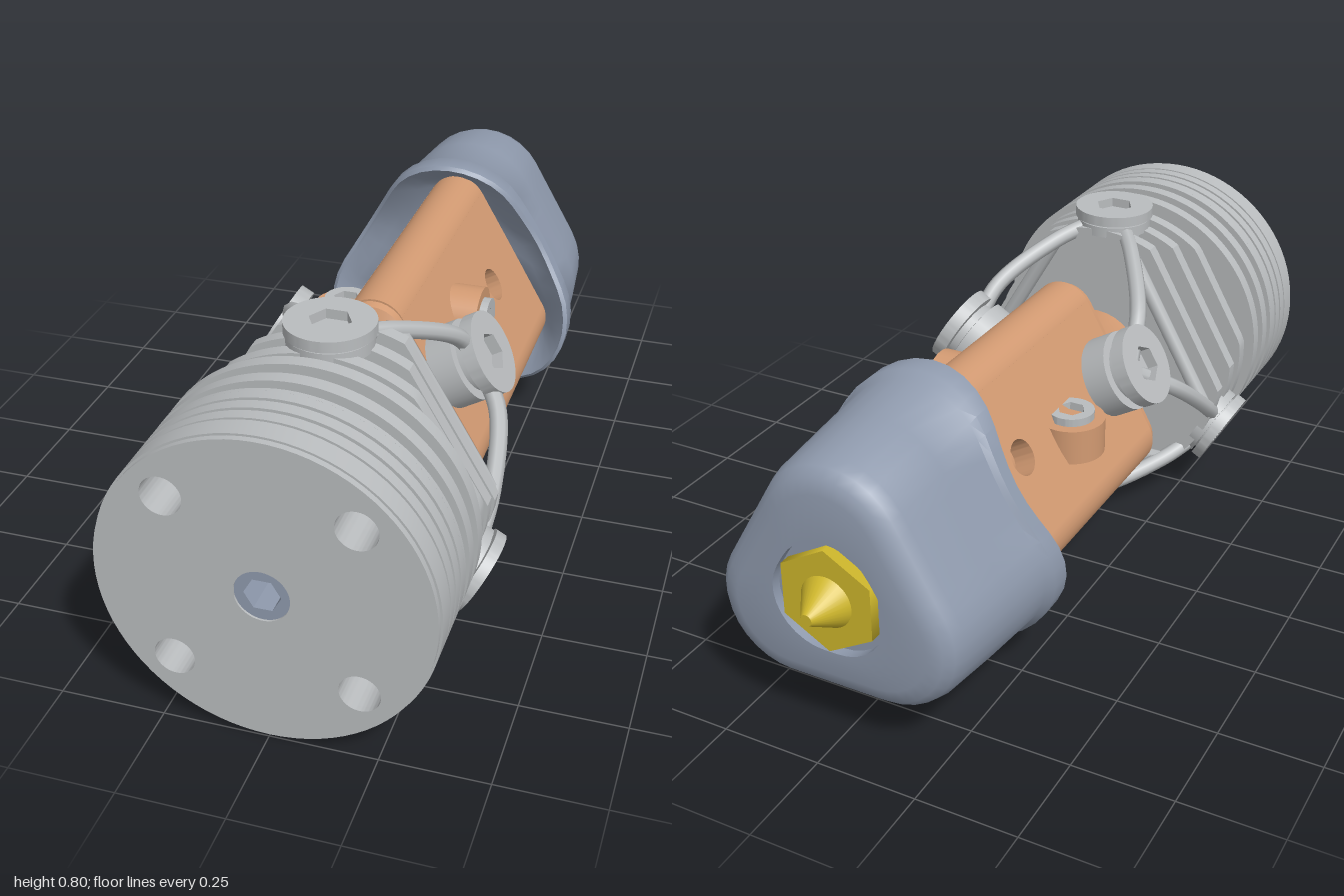
import * as THREE from 'three';
import { toCreasedNormals } from 'three/addons/utils/BufferGeometryUtils.js';

const mat = (name, color) => {
  const m = new THREE.MeshStandardMaterial({ color });
  m.name = name;
  return m;
};
const rad = THREE.MathUtils.degToRad;
const COLD = [90, 210, 330]; // screws on the heat sink
const HOT = [30, 150, 270];  // flat faces of the heater block

export function createModel() {
  const aluminium = mat('aluminium grey', 0xb9bcbe);
  const copper = mat('copper', 0xd29a72);
  const silicone = mat('silicone blue grey', 0x8f9aad);
  const brass = mat('brass yellow', 0xd0b82c);

  const model = new THREE.Group();
  const axis = new THREE.Group(); // everything hangs on one axis along z
  axis.name = 'hotEnd';
  axis.position.y = 0.39;
  model.add(axis);

  const add = (name, geo, m, parent = axis) => {
    const mesh = new THREE.Mesh(geo, m);
    mesh.name = name;
    parent.add(mesh);
    return mesh;
  };
  // group whose local +y points outward at the given angle
  const radial = (name, deg) => {
    const g = new THREE.Group();
    g.name = name;
    g.rotation.z = rad(deg - 90);
    axis.add(g);
    return g;
  };
  const polar = (r, deg, z) => new THREE.Vector3(r * Math.cos(rad(deg)), r * Math.sin(rad(deg)), z);
  const circle = (Type, x, y, r) => new Type().absarc(x, y, r, 0, Math.PI * 2);
  const hexagon = (Type, r) => new Type().setFromPoints(
    [0, 1, 2, 3, 4, 5].map(i => new THREE.Vector2(r * Math.cos(i * Math.PI / 3), r * Math.sin(i * Math.PI / 3))));
  const extrude = (shape, depth) => toCreasedNormals(
    new THREE.ExtrudeGeometry(shape, { depth, bevelEnabled: false, curveSegments: 40 }), 0.5);
  const rod = (r1, r2, z0, z1, sides = 32) =>
    new THREE.CylinderGeometry(r1, r2, z1 - z0, sides).rotateX(Math.PI / 2).translate(0, 0, (z0 + z1) / 2);
  const post = (r, y0, y1, z) => new THREE.CylinderGeometry(r, r, y1 - y0, 32).translate(0, (y0 + y1) / 2, z);

  // skin through rounded-triangle sections [z, corner distance, corner radius, wave]
  const loft = (sections) => {
    const pos = [], idx = [];
    let n = 0;
    for (const [z, d, r, wave = 0] of sections) {
      const arcs = COLD.map(c => Array.from({ length: 11 }, (_, i) =>
        polar(d, c, 0).add(polar(r, c - 60 + i * 12, 0))));
      const ring = arcs.flatMap((arc, k) => [...arc, ...[1, 2, 3, 4, 5].map(i =>
        arc[10].clone().lerp(arcs[(k + 1) % 3][0], i / 6))]);
      n = ring.length;
      for (const p of ring) {
        const t = Math.atan2(p.y, p.x) - Math.PI / 2;
        pos.push(p.x, p.y, z - wave * (0.5 - 0.5 * Math.cos(3 * t)));
      }
    }
    for (let s = 0; s < sections.length - 1; s++) for (let j = 0; j < n; j++) {
      const a = s * n + j, b = s * n + (j + 1) % n;
      idx.push(a, a + n, b, b, a + n, b + n);
    }
    const g = new THREE.BufferGeometry();
    g.setAttribute('position', new THREE.Float32BufferAttribute(pos, 3));
    g.setIndex(idx);
    return toCreasedNormals(g, 0.7);
  };

  // screw head with a hexagonal socket, pointing along local +y
  const screw = (name, r, y0, y1, z, parent) => {
    const s = circle(THREE.Shape, 0, 0, r);
    s.holes.push(hexagon(THREE.Path, Math.min(0.05, r * 0.6)));
    add(name, extrude(s, y1 - y0).rotateX(-Math.PI / 2).translate(0, y0, z), aluminium, parent);
    add(name + 'Base', post(r * 0.8, y0 - 0.02, y0 + 0.003, z), aluminium, parent);
  };

  // heat sink: grooved round base with four mounting holes and a bore
  const basePlates = [[0.815, 0.845, 0.385], [0.845, 0.855, 0.365], [0.855, 0.885, 0.385], [0.885, 0.895, 0.365],
    [0.895, 0.925, 0.385], [0.925, 0.932, 0.37], [0.932, 0.985, 0.385], [0.985, 1, 0.38]];
  for (const [z0, z1, r] of basePlates) {
    const s = circle(THREE.Shape, 0, 0, r);
    for (const x of [-0.21, 0.21]) for (const y of [-0.21, 0.21]) s.holes.push(circle(THREE.Path, x, y, 0.047));
    s.holes.push(circle(THREE.Path, 0, 0, 0.063));
    add('heatSinkBase', extrude(s, z1 - z0).translate(0, 0, z0), aluminium);
  }
  add('heatSinkBack', rod(0.385, 0.385, 0.805, 0.816, 96), aluminium);
  const collar = circle(THREE.Shape, 0, 0, 0.063);
  collar.holes.push(hexagon(THREE.Path, 0.042));
  add('boreCollar', extrude(collar, 0.1).translate(0, 0, 0.895), silicone);
  add('boreEnd', rod(0.05, 0.05, 0.81, 0.82), brass);

  // separate fins, the rear ones cut flat on three sides
  for (const [z, flat] of [[0.757, 1], [0.685, 1], [0.61, 0.34], [0.535, 0.32], [0.455, 0.3]]) {
    const pts = Array.from({ length: 120 }, (_, i) => {
      const deg = i * 3;
      const r = Math.min(0.385, ...HOT.map(h => {
        const c = Math.cos(rad(deg - h));
        return c > 0.1 ? flat / c : 1;
      }), flat < 1 ? 0.37 : 1);
      return new THREE.Vector2(r * Math.cos(rad(deg)), r * Math.sin(rad(deg)));
    });
    add('coolingFin', extrude(new THREE.Shape(pts), 0.035).translate(0, 0, z - 0.0175), aluminium);
  }
  add('heatSinkCore', rod(0.12, 0.12, 0.44, 0.81), aluminium);
  for (const x of [-0.14, 0.14]) for (const y of [-0.14, 0.14])
    add('heatSinkColumn', rod(0.055, 0.055, 0.61, 0.81, 20).translate(x, y, 0), aluminium);

  // heat sink screws, bosses and the struts reaching to the block
  const strut = (name, pts, r = 0.022) =>
    add(name, new THREE.TubeGeometry(new THREE.CatmullRomCurve3(pts), 20, r, 8), aluminium);
  for (const a of COLD) {
    const g = radial('coldMount', a);
    add('boss', post(0.085, 0.12, 0.36, 0.535), aluminium, g);
    add('armPad', post(0.1, 0.35, 0.378, 0.535), aluminium, g);
    screw('coldScrew', 0.105, 0.383, 0.41, 0.535, g);
    for (const s of [-1, 1]) strut('strut', [polar(0.365, a + s * 8, 0.49), polar(0.35, a + s * 19, 0.4),
      polar(0.32, a + s * 40, 0.24), polar(0.275, a + s * 56, 0.15)]);
    strut('braceBar', [polar(0.35, a + 19, 0.4), polar(0.35, a + 101, 0.4)], 0.02);
  }

  // heater block: three drilled faces, three round corners, tapered neck
  add('blockCore', rod(0.13, 0.13, -0.6, 0.3), copper);
  for (const a of COLD)
    add('blockCorner', rod(0.08, 0.08, -0.6, 0.22, 40).translate(...polar(0.22, a, 0)), copper);
  for (const a of HOT) {
    const g = radial('blockSide', a);
    const s = new THREE.Shape().setFromPoints([[-0.191, -0.22], [0.191, -0.22], [0.191, 0.6], [-0.191, 0.6]]
      .map(p => new THREE.Vector2(...p)));
    if (a !== 270) s.holes.push(circle(THREE.Path, 0, 0.33, 0.045));
    add('blockFace', extrude(s, 0.06).rotateX(-Math.PI / 2).translate(0, 0.13, 0), copper, g);
    for (const z of a === 270 ? [0.14, -0.33] : [0.14]) {
      add('armPad', post(0.105, 0.185, 0.26, z), aluminium, g);
      add('screwNeck', post(0.08, 0.255, 0.29, z), aluminium, g);
      screw('hotScrew', 0.105, 0.285, 0.32, z, g);
    }
  }
  add('blockNeck', loft([[0.45, 0, 0.06], [0.45, 0, 0.13], [0.34, 0.005, 0.13], [0.28, 0.06, 0.115],
    [0.255, 0.17, 0.08], [0.24, 0.21, 0.08], [0.2, 0.22, 0.08]]), copper);
  add('blockMound', new THREE.SphereGeometry(1, 32, 16).scale(0.13, 0.09, 0.13).translate(0, -0.18, -0.1), copper);

  // grub screws in round seats, one facing sideways and one facing up
  for (const [deg, across, out] of [[0, 0.11, 0.2], [90, -0.18, 0.11]]) {
    const g = radial('grubMount', deg);
    const side = deg === 0 ? -across : across;
    add('grubSeat', post(0.085, out - 0.1, out - 0.01, -0.1).translate(side, 0, 0), copper, g);
    const holder = new THREE.Group();
    holder.name = 'grubScrew';
    holder.position.x = side;
    g.add(holder);
    screw('grub', 0.058, out - 0.03, out + 0.01, -0.1, holder);
  }

  // silicone sock with a wavy open rim
  add('siliconeSock', loft([[-0.56, 0.22, 0.078], [-0.5, 0.2, 0.125, 0.05], [-0.455, 0.165, 0.19, 0.07],
    [-0.447, 0.16, 0.2, 0.07], [-0.455, 0.16, 0.21, 0.07], [-0.515, 0.16, 0.21, 0.045], [-0.54, 0.155, 0.2, 0.03],
    [-0.7, 0.15, 0.192], [-0.86, 0.14, 0.185], [-0.89, 0.138, 0.177], [-0.91, 0.135, 0.16],
    [-0.92, 0.13, 0.13], [-0.92, 0.02, 0.125], [-0.88, 0.02, 0.125]]), silicone);

  // nozzle
  add('nozzleSeat', rod(0.15, 0.15, -0.895, -0.885), silicone);
  add('nozzleHex', rod(0.13, 0.13, -0.924, -0.89, 6), brass);
  add('nozzleTip', rod(0.065, 0.014, -1, -0.923), brass);

  return model;
}
